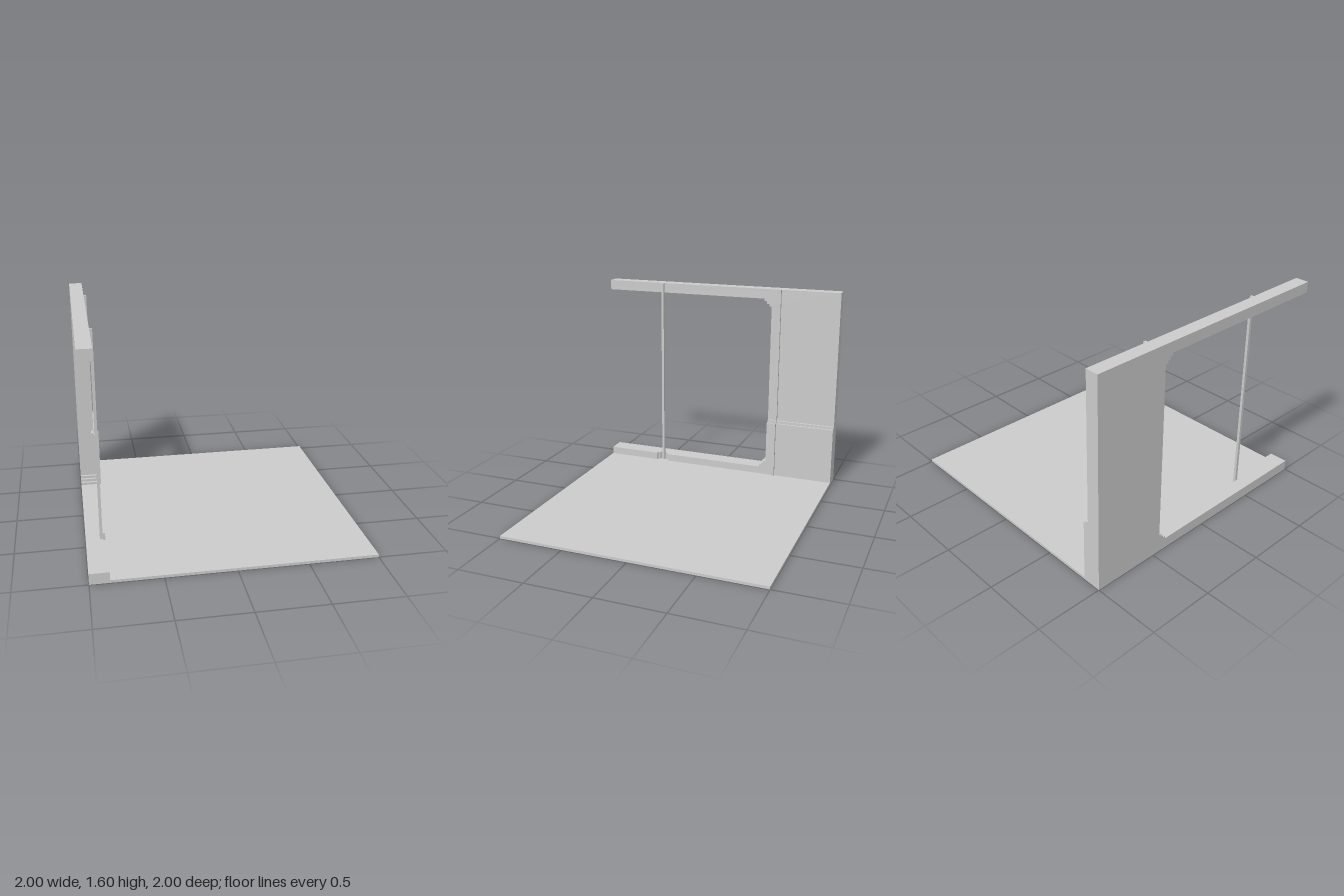
import * as THREE from 'three';

const material = new THREE.MeshStandardMaterial({ color: 0xcccccc, flatShading: true });
const S = 0.02; // size of one step
const BACK = -1, FACE = -0.9; // outer and inner faces of the wall

function add(group, name, geometry) {
  const mesh = new THREE.Mesh(geometry, material);
  mesh.name = name;
  group.add(mesh);
}

// Box given by its lower and upper bounds
function box(x0, x1, y0, y1, z0, z1) {
  return new THREE.BoxGeometry(x1 - x0, y1 - y0, z1 - z0)
    .translate((x0 + x1) / 2, (y0 + y1) / 2, (z0 + z1) / 2);
}

// Extrudes a (-z, y) outline sideways from x0 to x1
function sideExtrude(points, x0, x1) {
  const shape = new THREE.Shape(points.map(([u, y]) => new THREE.Vector2(u, y)));
  return new THREE.ExtrudeGeometry(shape, { depth: x1 - x0, bevelEnabled: false })
    .rotateY(Math.PI / 2)
    .translate(x0, 0, 0);
}

// Staircase from the sill up to the opening's side edge
function steps(startY, dir) {
  const points = [];
  for (let i = 0; i < 3; i++) {
    const u = 0.38 + i * S;
    points.push([u, startY + dir * i * S], [u, startY + dir * (i + 1) * S]);
  }
  points.push([0.44, startY + dir * 3 * S]);
  return points;
}

export function createModel() {
  const group = new THREE.Group();

  add(group, 'floor', box(FACE, 1, 0, S, -1, 1));

  // Wall with a large opening that has stepped corners
  add(group, 'wall', sideExtrude([
    [-1, 0], [1, 0], [1, 1.6], [-1, 1.6], [-1, 1.52],
    ...steps(1.52, -1), ...steps(0.08, 1).reverse(), [-1, 0.08],
  ], BACK, FACE));

  // Two-layer wainscot and sill, interrupted by a stepped notch around the front post
  [
    { x: FACE, top: 0.5, near: 0.48, far: 0.54 },
    { x: FACE + S, top: 0.48, near: 0.46, far: 0.56 },
  ].forEach(({ x, top, near, far }) => {
    add(group, 'wainscot', sideExtrude([
      [-near, S], [1, S], [1, top], [0.44, top],
      ...steps(0.08, 1).reverse(), [-near, 0.08],
    ], x, x + S));
    add(group, 'frontSill', box(x, x + S, S, 0.08, far, 1));
  });

  // Slim front post
  add(group, 'frontPost', box(FACE, FACE + S, S, 1.6, 0.5, 0.52));

  // Rear post, stepping outward over the wainscot
  const profile = new THREE.Shape([
    [-0.9, S], [-0.84, S], [-0.84, 0.48], [-0.86, 0.48],
    [-0.86, 0.5], [-0.88, 0.5], [-0.88, 1.6], [-0.9, 1.6],
  ].map(([x, y]) => new THREE.Vector2(x, y)));
  add(group, 'rearPost',
    new THREE.ExtrudeGeometry(profile, { depth: S, bevelEnabled: false }).translate(0, 0, -0.52));

  return group;
}
